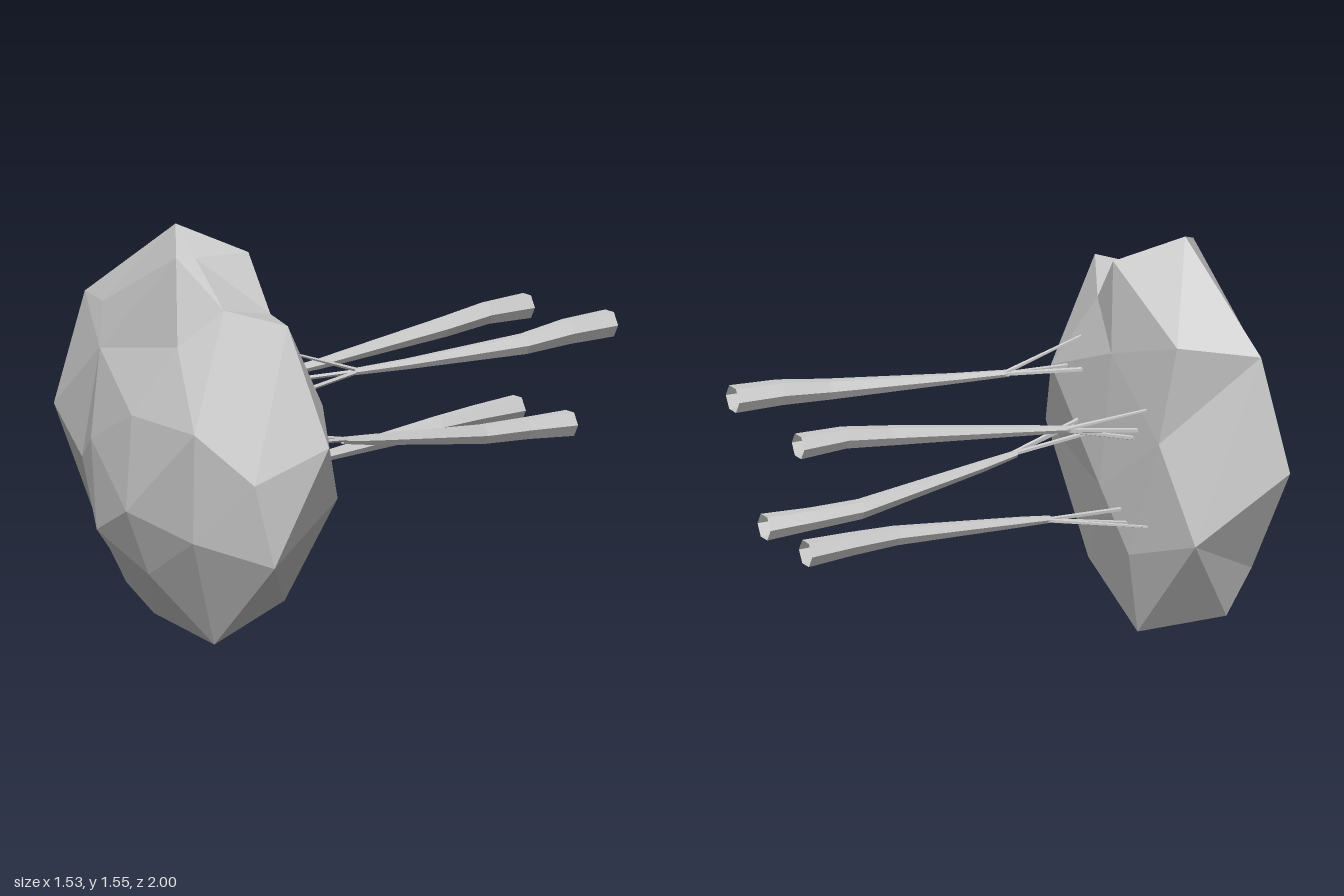
import * as THREE from 'three';
import { ConvexGeometry } from 'three/addons/geometries/ConvexGeometry.js';

const material = new THREE.MeshStandardMaterial({ color: 0xcccccc, flatShading: true, side: THREE.DoubleSide });

// Corners of the boulder: front cap, rim and back cap
const frontCorners = [
  [-0.03, 0.52, 1.0], [0.36, 0.88, 0.97], [-0.05, 0.88, 0.96], [0.31, 0.45, 0.94], [-0.01, 0.27, 0.91],
  [-0.31, 0.39, 0.93], [-0.36, 0.73, 0.92], [-0.40, 1.06, 0.85], [0.09, 1.15, 0.85], [0, 1.47, 0.79],
  [-0.18, 0.07, 0.76],
];
const rimCorners = [
  [-0.18, 1.55, 0.66], [0.01, 1.46, 0.71], [0.22, 1.30, 0.73], [0.50, 1.28, 0.64], [0.76, 0.86, 0.64],
  [0.55, 0.70, 0.83], [0.61, 0.62, 0.49], [0.58, 0.38, 0.76], [0.20, 0.02, 0.76], [-0.12, 0, 0.49],
  [-0.45, 0.13, 0.69], [-0.52, 0.33, 0.76], [-0.58, 0.47, 0.49], [-0.51, 0.62, 0.85], [-0.77, 0.77, 0.79],
  [-0.67, 1.21, 0.72], [-0.49, 1.21, 0.77],
];
const backCorners = [
  [-0.02, 1.44, 0.44], [0.16, 1.24, 0.47], [-0.51, 1.24, 0.45], [-0.08, 1.10, 0.40], [0.38, 0.92, 0.39],
  [-0.42, 0.84, 0.42], [-0.02, 0.56, 0.385], [-0.20, 0.34, 0.41], [0.29, 0.17, 0.50],
];

// Faceted skin: join the corners as seen from the middle, so dents survive
function facetedSkin(corners) {
  const points = corners.map((c) => new THREE.Vector3(...c));
  const centre = new THREE.Vector3(0, 0.75, 0.67);
  const rays = points.map((p) => p.clone().sub(centre).multiply(new THREE.Vector3(1, 1, 2.2)).normalize());
  const geometry = new ConvexGeometry(rays);
  const position = geometry.attributes.position;
  const v = new THREE.Vector3();
  for (let i = 0; i < position.count; i++) {
    v.fromBufferAttribute(position, i);
    let best = 0;
    rays.forEach((r, k) => { if (r.distanceToSquared(v) < rays[best].distanceToSquared(v)) best = k; });
    position.setXYZ(i, points[best].x, points[best].y, points[best].z);
  }
  geometry.computeVertexNormals();
  return geometry;
}

// Open tube through stations [x, y, z, radius], each ring facing along z
function taperedTube(stations, sides) {
  const positions = [], index = [];
  stations.forEach(([x, y, z, r], s) => {
    for (let i = 0; i < sides; i++) {
      const a = (i / sides) * Math.PI * 2;
      positions.push(x + r * Math.cos(a), y + r * Math.sin(a), z);
      if (s === 0) continue;
      const a0 = (s - 1) * sides + i, a1 = (s - 1) * sides + (i + 1) % sides;
      index.push(a0, a1, a0 + sides, a1, a1 + sides, a0 + sides);
    }
  });
  const geometry = new THREE.BufferGeometry();
  geometry.setAttribute('position', new THREE.Float32BufferAttribute(positions, 3));
  geometry.setIndex(index);
  geometry.computeVertexNormals();
  return geometry;
}

// Each root: trunk stations, then the tips of its fine branches
const roots = [
  { name: 'upperLeftRoot',
    trunk: [[0.30, 1.03, -1, 0.054], [0.30, 1.025, -0.8, 0.05], [0.30, 1.005, -0.6, 0.041], [0.24, 0.985, -0.1, 0.021], [0.21, 0.98, 0.12, 0.014]],
    tips: [[0.14, 0.97, 0.41], [0.26, 0.95, 0.41], [0.18, 1.09, 0.41]] },
  { name: 'upperRightRoot',
    trunk: [[-0.22, 1.0, -1, 0.05], [-0.21, 1.0, -0.8, 0.043], [-0.205, 0.975, -0.6, 0.039], [-0.22, 0.91, -0.05, 0.021], [-0.235, 0.89, 0.14, 0.014]],
    tips: [[-0.27, 0.85, 0.42], [-0.24, 0.81, 0.42], [-0.33, 0.95, 0.43]] },
  { name: 'lowerLeftRoot',
    trunk: [[0.05, 0.60, -1, 0.052], [0.04, 0.605, -0.8, 0.043], [0.04, 0.61, -0.6, 0.039], [0.095, 0.675, -0.05, 0.022], [0.11, 0.695, 0.1, 0.014]],
    tips: [[0.11, 0.73, 0.41], [0.17, 0.77, 0.41], [0.20, 0.74, 0.41]] },
  { name: 'lowerRightRoot',
    trunk: [[-0.28, 0.595, -1, 0.053], [-0.26, 0.595, -0.8, 0.045], [-0.24, 0.59, -0.6, 0.038], [-0.22, 0.55, -0.05, 0.02], [-0.215, 0.54, 0.07, 0.014]],
    tips: [[-0.15, 0.505, 0.42], [-0.19, 0.46, 0.42], [-0.32, 0.48, 0.44]] },
];

export function createModel() {
  const model = new THREE.Group();
  const add = (parent, name, geometry) => {
    const mesh = new THREE.Mesh(geometry, material);
    mesh.name = name;
    parent.add(mesh);
  };

  // Boulder
  add(model, 'boulder', facetedSkin([...frontCorners, ...rimCorners, ...backCorners]));

  // Roots that split into fine branches where they grip the boulder
  for (const { name, trunk, tips } of roots) {
    const root = new THREE.Group();
    root.name = name;
    add(root, 'trunk', taperedTube(trunk, 6));
    const [x, y, z] = trunk[trunk.length - 1];
    tips.forEach(([tx, ty, tz], i) => {
      add(root, 'branch' + (i + 1), taperedTube([[x, y, z - 0.03, 0.009], [tx, ty, tz, i === 2 ? 0.005 : 0.009]], 5));
    });
    model.add(root);
  }
  return model;
}
